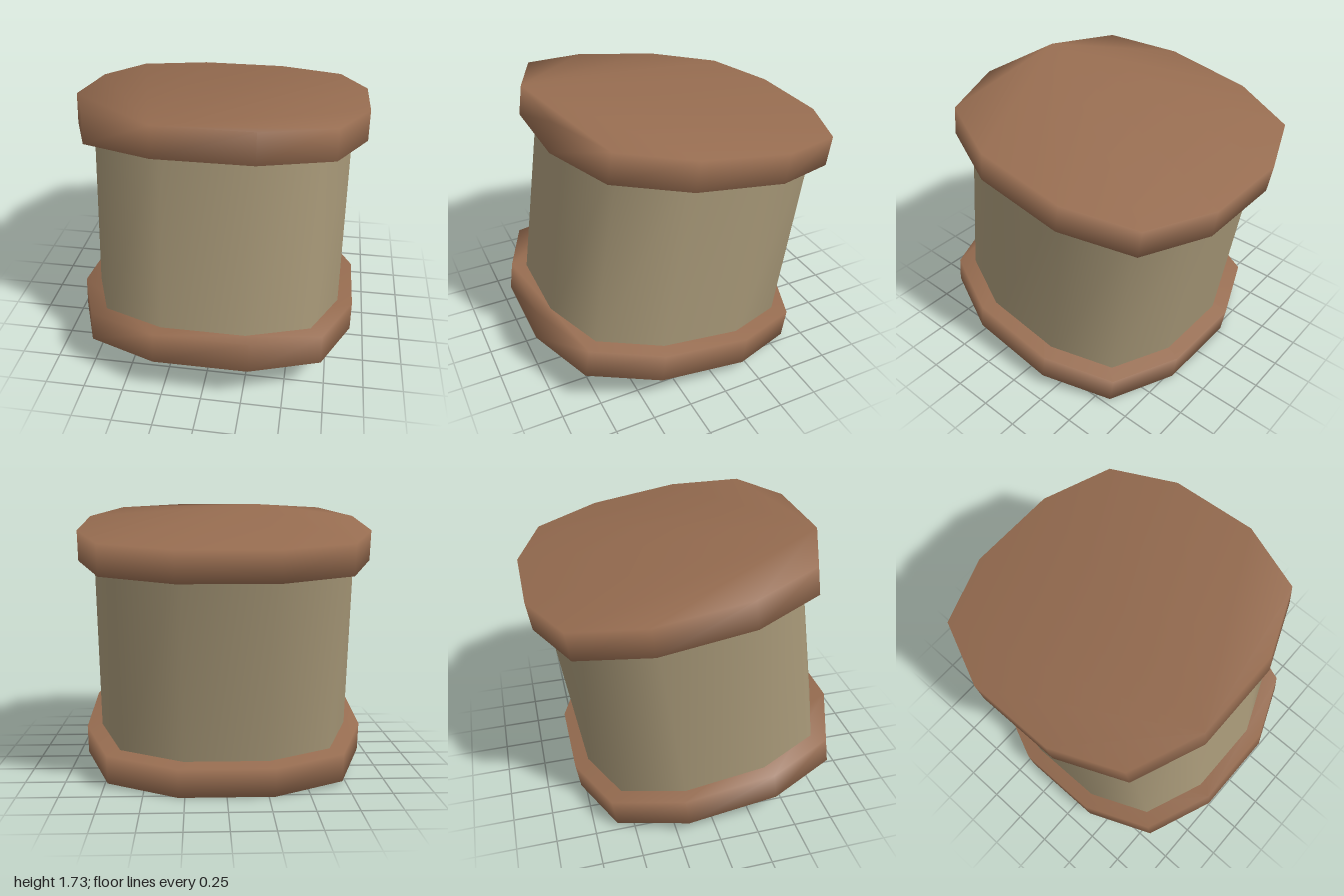
import * as THREE from 'three';

// One quarter of the twelve-sided outline as [x, z], turned four times
const quarter = [[-0.29, 0.9], [0.29, 0.9], [0.72, 0.725]];
const outline = [];
for (let k = 0; k < 4; k++) {
  for (const [x, z] of quarter) {
    const c = Math.round(Math.cos(k * Math.PI / 2)), s = Math.round(Math.sin(k * Math.PI / 2));
    outline.push([x * c + z * s, z * c - x * s]);
  }
}

// Skin a list of [scale, y] loops, optionally closing the last loop with a lid
function loft(loops, lid) {
  const n = outline.length, positions = [], index = [];
  for (const [scale, y] of loops) {
    for (const [x, z] of outline) positions.push(x * scale, y, z * scale);
  }
  for (let l = 0; l < loops.length - 1; l++) {
    for (let i = 0; i < n; i++) {
      const a = l * n + i, b = l * n + (i + 1) % n;
      index.push(a, b, b + n, a, b + n, a + n);
    }
  }
  if (lid) {
    const o = (loops.length - 1) * n;
    for (let i = 1; i < n - 1; i++) index.push(o, o + i, o + i + 1);
  }
  const geometry = new THREE.BufferGeometry();
  geometry.setAttribute('position', new THREE.Float32BufferAttribute(positions, 3));
  geometry.setIndex(index);
  geometry.computeVertexNormals();
  return geometry;
}

export function createModel() {
  const brown = new THREE.MeshStandardMaterial({ color: 0x966c50, side: THREE.DoubleSide });
  brown.name = 'brown rim';
  const beige = new THREE.MeshStandardMaterial({ color: 0xa59676, side: THREE.DoubleSide });
  beige.name = 'beige wall';

  const group = new THREE.Group();
  group.name = 'tiltedDrum';
  const drum = new THREE.Group();
  drum.name = 'drum';
  drum.position.y = 0.873;
  drum.rotation.x = -THREE.MathUtils.degToRad(8.5);
  group.add(drum);

  const add = (name, geometry, material) => {
    const mesh = new THREE.Mesh(geometry, material);
    mesh.name = name;
    drum.add(mesh);
  };

  const half = 0.742, rim = 0.187, inner = 0.895;

  // Wall, open at both ends and showing inside the lower recess
  add('wall', loft([[inner, -half + 0.04], [inner, half - 0.01]], false), beige);
  // Solid upper rim with its flat lid
  add('topRim', loft([[inner, half - rim], [1, half - rim], [1, half]], true), brown);
  // Lower rim, hollow underneath: inner lip, bottom edge, outside and floor
  add('bottomRim', loft([
    [inner, -half + 0.04], [inner, -half], [1, -half], [1, -half + rim],
  ], true), brown);

  return group;
}
